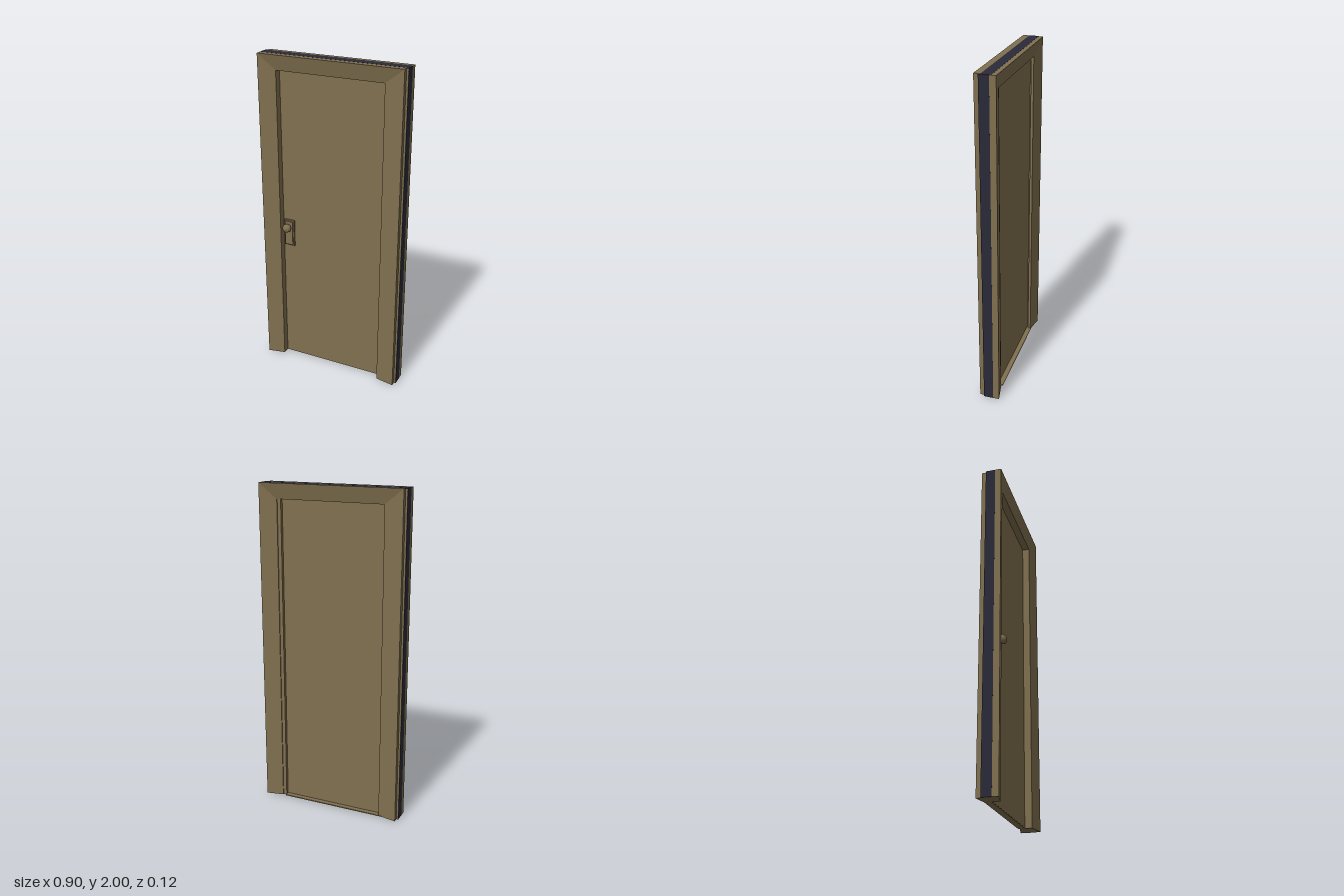
import * as THREE from 'three';

const brown = new THREE.MeshStandardMaterial({ color: 0x80704f });
brown.name = 'brown';
const dark = new THREE.MeshStandardMaterial({ color: 0x2a2a39 });
dark.name = 'darkNavy';

// Sweeps a mitred section up the left leg, across the head and down the right leg.
// Each profile point is [t, z]: t = 0 at the outer edge, 1 at the opening.
function mitredFrame(name, outer, inner, profile) {
  const mix = THREE.MathUtils.lerp;
  const sections = [0, 1, 2, 3].map((i) => profile.map(([t, z]) => [
    i < 2 ? mix(outer.left, inner.left, t) : mix(outer.right, inner.right, t),
    i === 0 || i === 3 ? 0 : mix(outer.top, inner.top, t),
    z,
  ]));
  const positions = [];
  const quad = (a, b, c, d) => positions.push(...a, ...b, ...c, ...a, ...c, ...d);
  const n = profile.length;
  for (let i = 0; i < 3; i++) {
    for (let j = 0; j < n; j++) {
      const k = (j + 1) % n;
      quad(sections[i][j], sections[i][k], sections[i + 1][k], sections[i + 1][j]);
    }
  }
  // Feet of the two legs
  const [a, b, c, d] = sections[0];
  quad(d, c, b, a);
  quad(...sections[3]);
  const geometry = new THREE.BufferGeometry();
  geometry.setAttribute('position', new THREE.Float32BufferAttribute(positions, 3));
  geometry.computeVertexNormals();
  const mesh = new THREE.Mesh(geometry, brown);
  mesh.name = name;
  return mesh;
}

function box(name, x0, x1, y0, y1, z0, z1, material = brown) {
  const mesh = new THREE.Mesh(new THREE.BoxGeometry(x1 - x0, y1 - y0, z1 - z0), material);
  mesh.position.set((x0 + x1) / 2, (y0 + y1) / 2, (z0 + z1) / 2);
  mesh.name = name;
  return mesh;
}

export function createModel() {
  const model = new THREE.Group();
  model.name = 'door';

  // Sloping casings: the back one is the front one turned half round
  const outer = { left: -0.45, right: 0.438, top: 2 };
  const opening = { left: -0.344, right: 0.322, top: 1.908 };
  const section = [[0, 0.024], [0, 0.062], [1, 0.04], [1, 0.024]];
  model.add(mitredFrame('frontCasing', outer, opening, section));
  const backCasing = mitredFrame('backCasing', outer, opening, section);
  backCasing.rotation.y = Math.PI;
  model.add(backCasing);

  // Jamb between the casings
  const jambOuter = { left: -0.4495, right: 0.4495, top: 1.998 };
  model.add(mitredFrame('jamb', jambOuter, opening, [[0, -0.034], [0, 0.034], [1, 0.034], [1, -0.034]]));

  // Dark facings on the outside of the jamb
  model.add(box('leftFacing', 0.442, 0.4502, 0, 1.999, -0.025, 0.0335, dark));
  model.add(box('rightFacing', -0.4502, -0.442, 0, 1.999, -0.0335, 0.025, dark));
  model.add(box('topFacing', -0.449, 0.438, 1.996, 2.0005, -0.0345, 0.0235, dark));
  model.add(box('topCornerFacing', 0.438, 0.449, 1.996, 2.0005, -0.025, 0.0335, dark));

  // Leaf and sill
  model.add(box('doorLeaf', -0.344, 0.322, 0.004, 1.908, -0.014, -0.004));
  model.add(box('sill', -0.344, 0.322, 0, 0.006, -0.045, -0.005));

  // Handle: stepped plate with a round knob
  const handle = new THREE.Group();
  handle.name = 'handle';
  handle.add(box('backPlate', -0.336, -0.268, 0.8, 0.972, -0.006, 0.006));
  handle.add(box('raisedPlate', -0.328, -0.276, 0.808, 0.964, 0.005, 0.014));
  const neck = new THREE.Mesh(new THREE.CylinderGeometry(0.012, 0.016, 0.02, 8), brown);
  neck.name = 'knobNeck';
  neck.rotation.x = Math.PI / 2;
  neck.position.set(-0.303, 0.928, 0.02);
  const knob = new THREE.Mesh(new THREE.SphereGeometry(0.029, 8, 6), brown);
  knob.name = 'knob';
  knob.rotation.x = Math.PI / 2;
  knob.scale.y = 0.85;
  knob.position.set(-0.303, 0.928, 0.036);
  handle.add(neck, knob);
  model.add(handle);

  return model;
}
